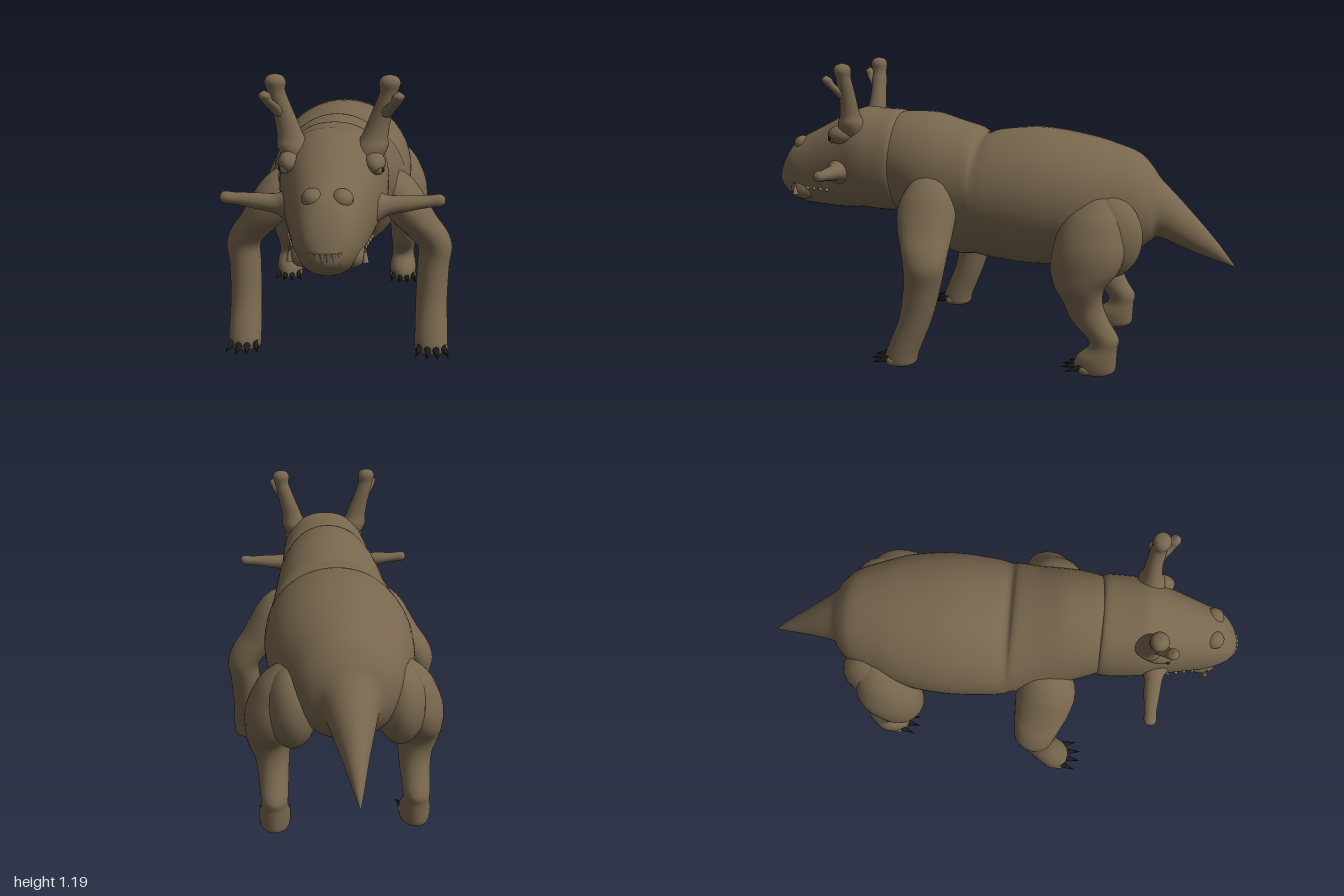
import * as THREE from 'three';

const hide = new THREE.MeshStandardMaterial({ color: 0x78674e });
hide.name = 'brown hide';
const dark = new THREE.MeshStandardMaterial({ color: 0x1d1b1a });
dark.name = 'dark claw';
const bone = new THREE.MeshStandardMaterial({ color: 0x8d7c60 });
bone.name = 'tan tooth';

// Skin of smooth rings. Rows are [x, y, z, ra, rb], ascending along the axis.
// Ring axes (a, b): z -> (x, y), y -> (z, x), x -> (y, z)
function loft(rows, axis, { sides = 32, steps = 4, power = 2 } = {}) {
  const centre = new THREE.CatmullRomCurve3(
    rows.map((r) => new THREE.Vector3(r[0], r[1], r[2])), false, 'catmullrom', 0.5);
  const radius = new THREE.CatmullRomCurve3(
    rows.map((r) => new THREE.Vector3(r[3], r[4], 0)), false, 'catmullrom', 0.5);
  const [a, b] = { z: ['x', 'y'], y: ['z', 'x'], x: ['y', 'z'] }[axis];
  const n = (rows.length - 1) * steps;
  const pos = [], index = [];
  const bend = (v) => Math.sign(v) * Math.abs(v) ** (2 / power);
  for (let i = 0; i <= n; i++) {
    const c = centre.getPoint(i / n), r = radius.getPoint(i / n);
    for (let j = 0; j < sides; j++) {
      const t = (j / sides) * Math.PI * 2;
      const p = c.clone();
      p[a] += Math.max(r.x, 0.001) * bend(Math.cos(t));
      p[b] += Math.max(r.y, 0.001) * bend(Math.sin(t));
      pos.push(p.x, p.y, p.z);
      if (i === n) continue;
      const k = (j + 1) % sides, o = i * sides, q = o + sides;
      index.push(o + j, o + k, q + k, o + j, q + k, q + j);
    }
  }
  // Close both ends
  for (const [ring, flip] of [[0, true], [n, false]]) {
    const c = centre.getPoint(ring / n), m = pos.length / 3, o = ring * sides;
    pos.push(c.x, c.y, c.z);
    for (let j = 0; j < sides; j++) {
      const k = (j + 1) % sides;
      index.push(m, o + (flip ? k : j), o + (flip ? j : k));
    }
  }
  const g = new THREE.BufferGeometry();
  g.setAttribute('position', new THREE.Float32BufferAttribute(pos, 3));
  g.setIndex(index);
  g.computeVertexNormals();
  return g;
}

function mirrored(geo) {
  const g = geo.clone().scale(-1, 1, 1);
  const ix = g.index.array;
  for (let i = 0; i < ix.length; i += 3) [ix[i], ix[i + 1]] = [ix[i + 1], ix[i]];
  return g;
}

const ball = (x, y, z, rx, ry = rx, rz = rx) =>
  new THREE.SphereGeometry(1, 20, 14).scale(rx, ry, rz).translate(x, y, z);

export function createModel() {
  const model = new THREE.Group();
  const add = (name, geo, mat = hide) => {
    const mesh = new THREE.Mesh(geo, mat);
    mesh.name = name;
    model.add(mesh);
  };
  const pair = (name, geo, mat = hide) => {
    add(name + 'Left', geo, mat);
    add(name + 'Right', mirrored(geo), mat);
  };

  // Tail, rump, belly and shoulders: z, y, half width, half height
  add('torsoAndTail', loft([
    [-1, 0.4, 0.002, 0.002], [-0.93, 0.457, 0.025, 0.036], [-0.84, 0.522, 0.052, 0.072],
    [-0.76, 0.58, 0.08, 0.098], [-0.69, 0.627, 0.108, 0.12], [-0.655, 0.64, 0.155, 0.155],
    [-0.6, 0.645, 0.2, 0.203], [-0.5, 0.65, 0.24, 0.235], [-0.38, 0.65, 0.28, 0.265],
    [-0.2, 0.652, 0.3, 0.287], [-0.03, 0.65, 0.291, 0.275], [0.04, 0.645, 0.28, 0.26],
    [0.07, 0.66, 0.272, 0.272], [0.15, 0.67, 0.258, 0.285], [0.25, 0.705, 0.24, 0.28],
    [0.33, 0.745, 0.222, 0.244], [0.42, 0.77, 0.196, 0.212], [0.55, 0.78, 0.15, 0.15],
  ].map(([z, y, w, h]) => [0, y, z, w, h]), 'z', { sides: 48 }));

  // Head with a rim at the neck and a beaked snout
  add('head', loft([
    [0.405, 0.775, 0.185, 0.2], [0.425, 0.775, 0.2, 0.217], [0.5, 0.775, 0.2, 0.22],
    [0.58, 0.78, 0.192, 0.22], [0.65, 0.765, 0.175, 0.21], [0.72, 0.748, 0.158, 0.193],
    [0.8, 0.73, 0.138, 0.17], [0.87, 0.715, 0.12, 0.148], [0.92, 0.707, 0.1, 0.12],
    [0.96, 0.692, 0.073, 0.076], [0.985, 0.676, 0.04, 0.036], [0.993, 0.67, 0.01, 0.01],
  ].map(([z, y, w, h]) => [0, y, z, w, h]), 'z', { sides: 48, power: 2.2 }));
  pair('cheek', ball(0.09, 0.64, 0.85, 0.036, 0.045, 0.06));
  pair('nostril', ball(0.048, 0.835, 0.865, 0.038, 0.034, 0.04));
  pair('brow', ball(0.148, 0.895, 0.635, 0.04, 0.04, 0.06));
  pair('eye', ball(0.162, 0.88, 0.67, 0.019));
  pair('pupil', ball(0.177, 0.881, 0.675, 0.007, 0.009, 0.008), dark);

  // Forked upright horns
  pair('horn', loft([
    [0.1, 0.87, 0.595, 0.06, 0.06], [0.135, 0.94, 0.594, 0.055, 0.06],
    [0.148, 0.98, 0.592, 0.041, 0.047],
    [0.165, 1.04, 0.59, 0.034, 0.039], [0.184, 1.1, 0.592, 0.032, 0.034],
    [0.195, 1.14, 0.595, 0.031, 0.032], [0.198, 1.17, 0.597, 0.035, 0.038],
    [0.198, 1.19, 0.597, 0.025, 0.026], [0.198, 1.198, 0.597, 0.002, 0.002],
  ], 'y', { sides: 24 }));
  pair('hornProng', loft([
    [0.178, 1.05, 0.595, 0.024, 0.024], [0.2, 1.085, 0.62, 0.022, 0.024],
    [0.222, 1.115, 0.645, 0.021, 0.021], [0.228, 1.135, 0.653, 0.021, 0.021],
    [0.229, 1.15, 0.655, 0.002, 0.002],
  ], 'y', { sides: 20 }));

  // Sideways cheek horns
  pair('cheekHorn', loft([
    [0.13, 0.74, 0.645, 0.085, 0.08], [0.165, 0.74, 0.645, 0.055, 0.055],
    [0.2, 0.743, 0.643, 0.036, 0.038], [0.27, 0.75, 0.637, 0.029, 0.032],
    [0.34, 0.756, 0.633, 0.022, 0.025], [0.38, 0.76, 0.632, 0.022, 0.025],
    [0.396, 0.76, 0.632, 0.014, 0.016], [0.4, 0.76, 0.632, 0.002, 0.002],
  ], 'x', { sides: 24 }));

  // Front teeth, side teeth and small tusks
  const tooth = (r, h) => new THREE.ConeGeometry(r, h, 8);
  for (let i = 0; i < 6; i++) {
    const x = (i - 2.5) * 0.018;
    add('frontTooth' + (i + 1),
      tooth(0.009, 0.042).rotateX(Math.PI).translate(x, 0.67, 0.991 - x * x * 7), bone);
  }
  for (let i = 0; i < 4; i++)
    pair('sideTooth' + (i + 1), ball(0.123 + i * 0.007, 0.652, 0.815 - i * 0.033, 0.008), bone);
  pair('tusk', tooth(0.012, 0.06).translate(0.126, 0.65, 0.875), bone);

  // Legs as stacked rings: x, y, z, half depth, half width
  pair('frontLeg', loft([
    [0.385, 0.005, 0.295, 0.05, 0.05], [0.385, 0.018, 0.295, 0.064, 0.066],
    [0.385, 0.06, 0.288, 0.068, 0.068], [0.384, 0.2, 0.232, 0.068, 0.065],
    [0.389, 0.34, 0.2, 0.076, 0.066], [0.394, 0.42, 0.19, 0.085, 0.071],
    [0.358, 0.485, 0.198, 0.098, 0.087], [0.305, 0.55, 0.212, 0.115, 0.096],
    [0.262, 0.62, 0.22, 0.122, 0.098], [0.232, 0.68, 0.22, 0.107, 0.092],
    [0.205, 0.735, 0.217, 0.07, 0.065], [0.19, 0.765, 0.215, 0.002, 0.002],
  ], 'y'));
  pair('hindLeg', loft([
    [0.28, 0.005, -0.485, 0.06, 0.045], [0.28, 0.022, -0.48, 0.084, 0.06],
    [0.28, 0.07, -0.488, 0.08, 0.062], [0.28, 0.115, -0.512, 0.058, 0.053],
    [0.28, 0.155, -0.51, 0.064, 0.054], [0.28, 0.22, -0.46, 0.075, 0.06],
    [0.283, 0.29, -0.43, 0.078, 0.068], [0.292, 0.36, -0.415, 0.1, 0.088],
    [0.29, 0.43, -0.432, 0.134, 0.096], [0.275, 0.5, -0.445, 0.14, 0.108],
    [0.255, 0.57, -0.45, 0.13, 0.105], [0.23, 0.64, -0.46, 0.105, 0.09],
    [0.2, 0.7, -0.47, 0.05, 0.05], [0.19, 0.72, -0.47, 0.002, 0.002],
  ], 'y'));
  pair('haunch', ball(0.205, 0.545, -0.515, 0.098, 0.165, 0.13));

  // Toes and claws
  for (const [name, x0, z0, half] of [['front', 0.385, 0.35, 0.05], ['hind', 0.28, -0.417, 0.045]]) {
    for (let i = 0; i < 4; i++) {
      const u = (i - 1.5) / 1.5, x = x0 + u * half, z = z0 - u * u * 0.022;
      pair(name + 'Toe' + (i + 1), ball(x, 0.027, z - 0.01, 0.018, 0.02, 0.028));
      pair(name + 'Claw' + (i + 1), new THREE.ConeGeometry(0.0165, 0.075, 8)
        .rotateX(Math.PI / 2 + 0.2).rotateY(u * 0.3).translate(x + u * 0.006, 0.028, z + 0.036), dark);
    }
  }
  return model;
}
